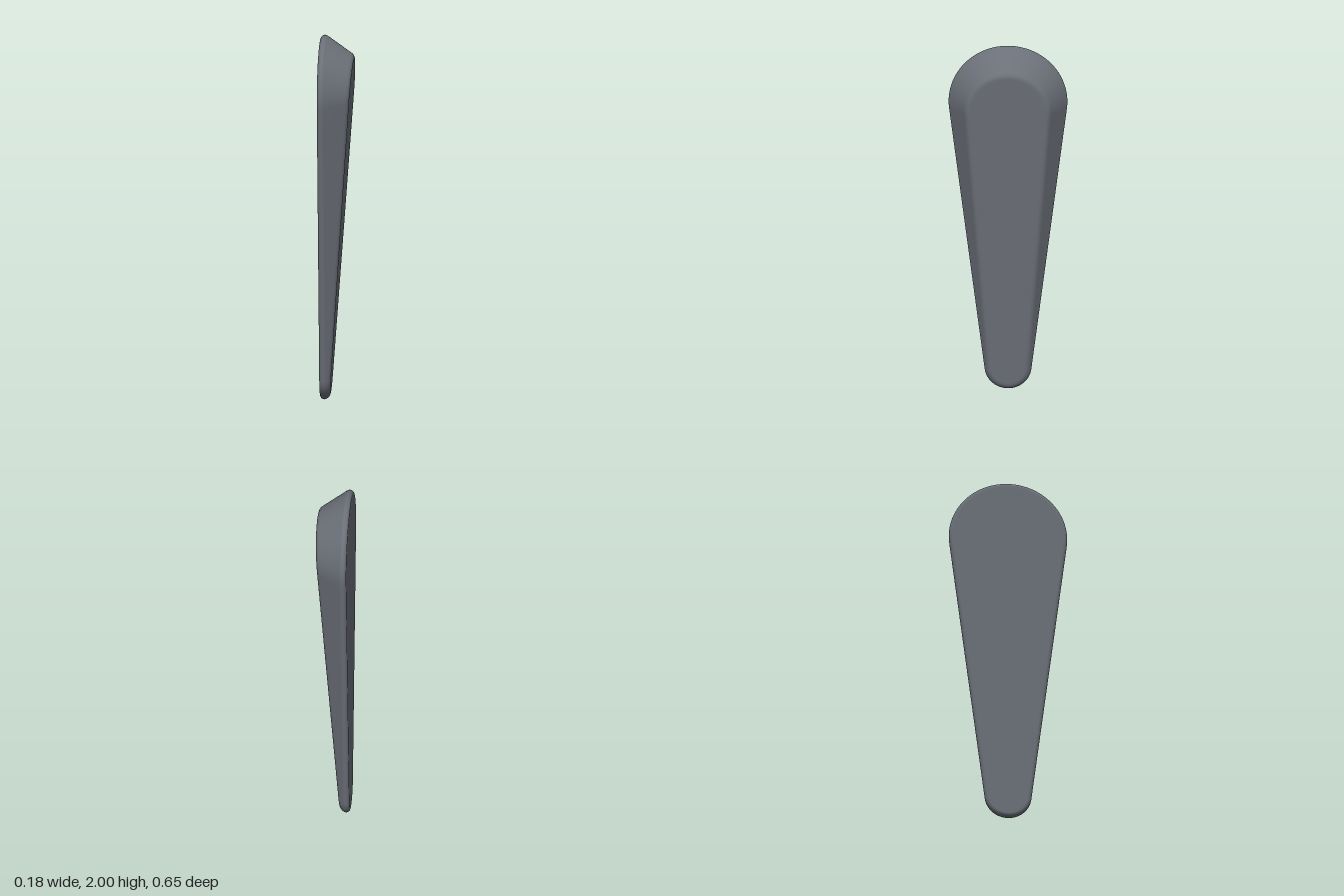
import * as THREE from 'three';

const BACK = -0.093;                       // x of the flat back
const R = 0.323, r = 0.128;                // radii of the wide top and narrow bottom
const TOP = 2 - R, BOTTOM = r;             // heights of the two arc centres
const ROUND = 0.022;                       // rounding of the back rim
const FACE0 = -0.04, FACE_SLOPE = 0.0695;  // sloped front plane: x = FACE0 + FACE_SLOPE * y
const BEVEL = 0.7, LEAN = Math.atan(BEVEL);

// Teardrop outline: points with outward normals in the z/y plane
function outline() {
  const pts = [];
  const tilt = Math.asin((R - r) / (TOP - BOTTOM));
  const arc = (cy, rad, from, to, n) => {
    for (let i = 0; i <= n; i++) {
      const a = from + (to - from) * i / n;
      const nz = Math.cos(a), ny = Math.sin(a);
      pts.push({ z: rad * nz, y: cy + rad * ny, nz, ny });
    }
  };
  const straight = (p, q, n) => {
    for (let i = 1; i < n; i++) {
      const t = i / n;
      pts.push({ ...p, z: p.z + (q.z - p.z) * t, y: p.y + (q.y - p.y) * t });
    }
  };
  arc(TOP, R, -tilt, Math.PI + tilt, 56);
  const a = pts[pts.length - 1], first = pts[0];
  const b = { z: r * a.nz, y: BOTTOM + r * a.ny };
  straight(a, b, 12);
  arc(BOTTOM, r, Math.PI + tilt, 2 * Math.PI - tilt, 32);
  straight(pts[pts.length - 1], first, 12);
  return pts;
}

// Section from the centre of the back, round the rim, to the centre of the face
function section(p) {
  const at = (x, inset) => new THREE.Vector3(x, p.y - p.ny * inset, p.z - p.nz * inset);
  const onFace = (inset) => at(FACE0 + FACE_SLOPE * (p.y - p.ny * inset), inset);
  const pts = [new THREE.Vector3(BACK, 1, 0), at(BACK, ROUND + 0.02)];

  // rounded back rim, ending tangent to the bevel
  let x, inset;
  for (let i = 0; i <= 10; i++) {
    const a = (Math.PI / 2 + LEAN) * i / 10;
    x = BACK + ROUND - ROUND * Math.cos(a);
    inset = ROUND - ROUND * Math.sin(a);
    pts.push(at(x, inset));
  }

  // bevel up to where it meets the sloped face, with a softened edge
  const start = at(x, inset);
  const edgeInset = (inset + BEVEL * (FACE0 + FACE_SLOPE * p.y - x)) / (1 + BEVEL * FACE_SLOPE * p.ny);
  const edge = onFace(edgeInset);
  const length = start.distanceTo(edge);
  const soft = Math.min(0.022, length * 0.9);
  const curve = new THREE.QuadraticBezierCurve3(
    edge.clone().lerp(start, soft / length), edge, onFace(edgeInset + soft));
  pts.push(...curve.getPoints(8));

  pts.push(onFace(edgeInset + soft + 0.015), new THREE.Vector3(FACE0 + FACE_SLOPE, 1, 0));
  return pts;
}

// Joins the sections all round into one closed skin
function loft(sections) {
  const n = sections.length, m = sections[0].length;
  const index = [];
  for (let i = 0; i < n; i++) {
    for (let j = 0; j < m - 1; j++) {
      const a = i * m + j, b = ((i + 1) % n) * m + j;
      if (j < m - 2) index.push(a, a + 1, b + 1);
      if (j > 0) index.push(a, b + 1, b);
    }
  }
  const geometry = new THREE.BufferGeometry().setFromPoints(sections.flat());
  geometry.setIndex(index);
  geometry.computeVertexNormals();
  return geometry;
}

export function createModel() {
  const group = new THREE.Group();
  group.name = 'taperedHandle';
  const material = new THREE.MeshStandardMaterial({ color: 0x6b7078 });
  const body = new THREE.Mesh(loft(outline().map(section)), material);
  body.name = 'handleBody';
  group.add(body);
  return group;
}
